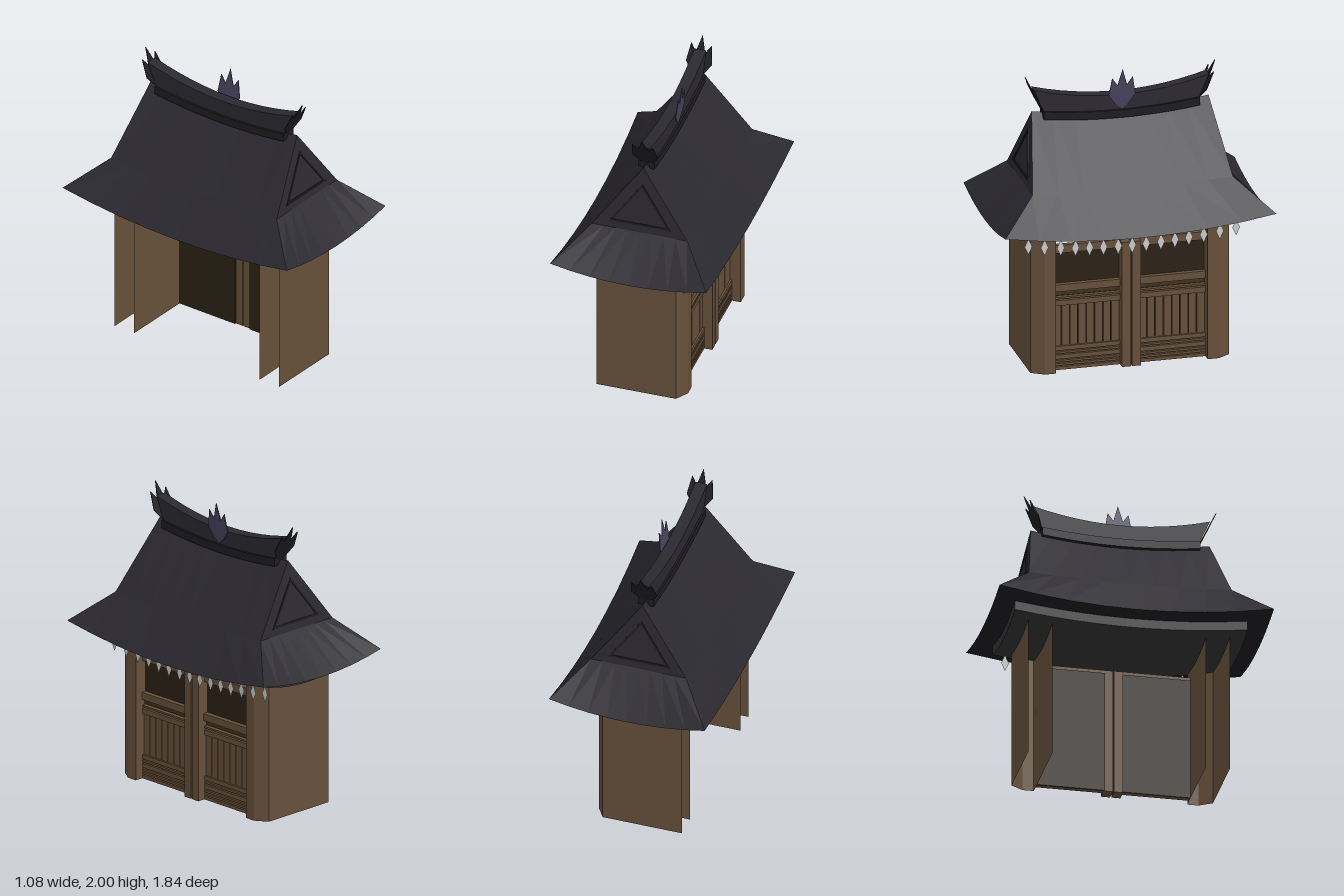
import * as THREE from 'three';

const mat = (color) => new THREE.MeshStandardMaterial({ color, flatShading: true, side: THREE.DoubleSide });
const roofMat = mat(0x2b2930), trimMat = mat(0x1d1c21), beamMat = mat(0x333333);
const woodMat = mat(0x66503a), darkWoodMat = mat(0x2c2215), crestMat = mat(0x48445f), paperMat = mat(0xcccccc);

function add(parent, name, geometry, material) {
  const mesh = new THREE.Mesh(geometry, material);
  mesh.name = name;
  parent.add(mesh);
  return mesh;
}

function box(parent, name, material, x0, x1, y0, y1, z0, z1) {
  const mesh = add(parent, name, new THREE.BoxGeometry(x1 - x0, y1 - y0, Math.abs(z1 - z0)), material);
  mesh.position.set((x0 + x1) / 2, (y0 + y1) / 2, (z0 + z1) / 2);
  return mesh;
}

// Sheet through rows of points; each row is a function of t in -1..1
function loft(rows, n = 8) {
  const pos = [], index = [];
  rows.forEach((row, r) => {
    for (let i = 0; i <= n; i++) {
      pos.push(...row(-1 + 2 * i / n));
      if (r && i) {
        const a = (r - 1) * (n + 1) + i - 1, b = a + n + 1;
        index.push(a, b, a + 1, b, b + 1, a + 1);
      }
    }
  });
  const g = new THREE.BufferGeometry();
  g.setAttribute('position', new THREE.Float32BufferAttribute(pos, 3));
  g.setIndex(index);
  g.computeVertexNormals();
  return g;
}

const sag = (t) => 1 - t * t;

// Beam whose vertices are moved by a rule
function bentBox(w, h, l, rule) {
  const g = new THREE.BoxGeometry(w, h, l, 8, 1, 12);
  const p = g.attributes.position, v = new THREE.Vector3();
  for (let i = 0; i < p.count; i++) {
    rule(v.fromBufferAttribute(p, i));
    p.setXYZ(i, v.x, v.y, v.z);
  }
  g.computeVertexNormals();
  return g;
}

const polygon = (pts) => new THREE.Shape(pts.map(([x, y]) => new THREE.Vector2(x, y)));

// Three-pointed crest standing on its lower tip
function crestGeometry() {
  const half = [[0.045, 0.035], [0.09, 0.1], [0.07, 0.225], [0.032, 0.17]];
  const pts = [[0, 0], ...half, [0, 0.285], ...half.map(([x, y]) => [-x, y]).reverse()];
  return new THREE.ExtrudeGeometry(polygon(pts), { depth: 0.006, bevelEnabled: false });
}

function buildRoof(root) {
  const roof = new THREE.Group();
  roof.name = 'roof';
  root.add(roof);
  for (const s of [1, -1]) {
    // Long slopes and their soffits
    const sideEave = (t) => [s * (0.54 - 0.012 * sag(t)), 1.07 - 0.085 * sag(t), 0.92 * t];
    add(roof, 'roofSlope', loft([
      (t) => [0, 1.74 - 0.055 * sag(t), 0.6 * t],
      (t) => [s * 0.33, 1.28 - 0.02 * sag(t), 0.68 * t],
      sideEave,
    ]), roofMat);
    add(roof, 'sideSoffit', loft([sideEave, (t) => [s * 0.36, 1.05 - 0.055 * sag(t), 0.78 * t]]), trimMat);

    // Gable ends with hips below
    const endEave = (t) => [0.54 * t, 1.07 - 0.06 * sag(t), s * 0.92];
    add(roof, 'gableEnd', loft([
      () => [0, 1.74, s * 0.6],
      (t) => [0.33 * t, 1.28, s * 0.68],
      endEave,
    ]), roofMat);
    add(roof, 'endSoffit', loft([endEave, (t) => [0.36 * t, 1.05 - 0.05 * sag(t), s * 0.78]]), trimMat);

    // Triangular gable frame
    const frame = polygon([[-0.212, 0.048], [0.212, 0.048], [0, 0.35]]);
    frame.holes.push(polygon([[-0.185, 0.063], [0, 0.325], [0.185, 0.063]]));
    const holder = new THREE.Group();
    holder.name = 'gableFrame';
    holder.rotation.y = s > 0 ? 0 : Math.PI;
    const tri = add(holder, 'gableTrim', new THREE.ExtrudeGeometry(frame, { depth: 0.006, bevelEnabled: false }), trimMat);
    tri.position.set(0, 1.28, 0.68);
    tri.rotation.x = -0.174;

    // Leaning end crest
    const crest = add(holder, 'endCrest', crestGeometry(), trimMat);
    crest.position.set(0, 1.725, 0.52);
    crest.rotation.x = 0.44;
    roof.add(holder);
  }

  // Ridge base and flared ridge
  add(roof, 'ridgeBase', bentBox(0.11, 0.055, 1.06, (v) => {
    v.y += 1.72 - 0.035 * sag(v.z / 0.53);
  }), trimMat);
  add(roof, 'ridge', bentBox(0.08, 1, 2, (v) => {
    const t = v.z, top = v.y > 0;
    v.y = top ? 1.9 - 0.085 * sag(t) : 1.74 - 0.03 * sag(t);
    v.z = t * (top ? 0.595 : 0.525);
  }), roofMat);

  // Crest over the entrance side
  const holder = new THREE.Group();
  holder.name = 'entranceCrest';
  holder.rotation.y = Math.PI / 2;
  const crest = add(holder, 'crest', crestGeometry(), crestMat);
  crest.position.set(0, 1.72, 0.04);
  crest.rotation.x = 0.1;
  roof.add(holder);
}

function buildDoor(root, s) {
  const door = new THREE.Group();
  door.name = 'door';
  root.add(door);
  const a = 0.06, b = 0.515;
  const rail = (name, y0, y1, x = 0.245) => box(door, name, woodMat, 0.21, x, y0, y1, s * a, s * b);
  box(door, 'centerPost', woodMat, 0.21, 0.3, 0, 0.875, s * 0.004, s * 0.065);
  box(door, 'doorBacking', darkWoodMat, 0.2, 0.215, 0, 0.85, s * a, s * b);
  rail('topRail', 0.82, 0.875);
  rail('middleRail', 0.55, 0.6, 0.25);
  rail('recessedRail', 0.515, 0.55, 0.225).material = mat(0x40311f);
  rail('thinRail', 0.497, 0.51);
  rail('panelRail', 0.45, 0.487);
  // Vertical boards
  const n = 8, w = (b - 0.065) / n;
  for (let i = 0; i < n; i++) {
    const z = 0.065 + i * w;
    box(door, 'board', woodMat, 0.21, 0.232, 0.165, 0.455, s * (z + 0.003), s * (z + w - 0.003));
  }
  // Lower rails
  for (const [y0, y1] of [[0, 0.022], [0.03, 0.045], [0.053, 0.067], [0.075, 0.105], [0.113, 0.127], [0.135, 0.165]]) {
    rail('lowerRail', y0, y1);
  }
}

export function createModel() {
  const root = new THREE.Group();
  root.name = 'gatehouse';
  buildRoof(root);

  // Sagging eave beam block
  add(root, 'eaveBeam', bentBox(0.72, 0.065, 1.56, (v) => {
    v.y += 1.02 - 0.05 * sag(v.x / 0.36) - 0.055 * sag(v.z / 0.78);
  }), beamMat);

  // Folded end walls, open at the rear
  const plan = [[-0.3, 0.675], [0.25, 0.675], [0.305, 0.59], [0.305, 0.515], [-0.3, 0.515]];
  for (const s of [1, -1]) {
    const wall = new THREE.Group();
    wall.name = 'endWall';
    for (let i = 0; i < 4; i++) {
      const [x0, z0] = plan[i], [x1, z1] = plan[i + 1];
      const row = (y) => (t) => [x0 + (x1 - x0) * (t + 1) / 2, y, s * (z0 + (z1 - z0) * (t + 1) / 2)];
      add(wall, 'wallPanel', loft([row(0.965), row(0)], 1), woodMat);
    }
    root.add(wall);
    buildDoor(root, s);
  }

  // Hanging paper diamonds along the entrance eave
  const diamond = new THREE.ShapeGeometry(polygon([[0, -0.058], [0.026, 0], [0, 0.058], [-0.026, 0]]));
  for (const d of [0, 0.095, 0.195, 0.29, 0.385, 0.485, 0.595, 0.705]) {
    for (const s of d ? [1, -1] : [1]) {
      const m = add(root, 'pendant', diamond, paperMat);
      m.position.set(0.316, 0.858 + 0.055 * (d / 0.7) ** 2, s * d);
      m.rotation.y = Math.PI / 2;
    }
  }
  return root;
}
